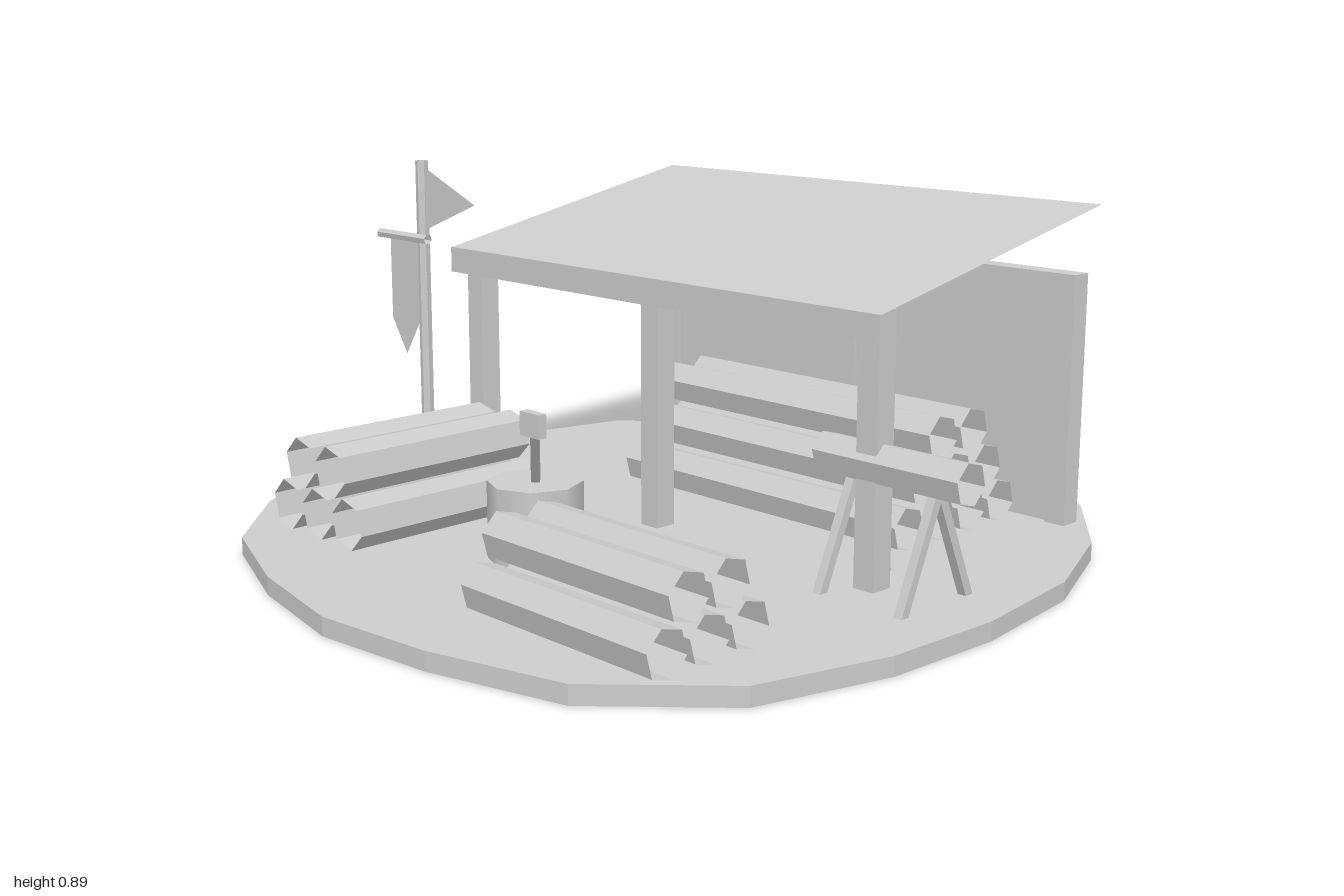
import * as THREE from 'three';

const woodGrey = new THREE.MeshStandardMaterial({ color: 0xcccccc, side: THREE.DoubleSide });
const GROUND = 0.044;

export function createModel() {
  const root = new THREE.Group();

  const add = (name, geo, x = 0, y = 0, z = 0, parent = root) => {
    const mesh = new THREE.Mesh(geo, woodGrey);
    mesh.name = name;
    mesh.position.set(x, y, z);
    parent.add(mesh);
    return mesh;
  };
  const box = (name, x0, x1, y0, y1, z0, z1) =>
    add(name, new THREE.BoxGeometry(x1 - x0, y1 - y0, z1 - z0), (x0 + x1) / 2, (y0 + y1) / 2, (z0 + z1) / 2);
  // Open six-sided tube, upright, turned a little about its axis
  const tube = (r, length) => {
    const flat = new THREE.CylinderGeometry(r, r, length, 6, 1, true, Math.PI / 12).toNonIndexed();
    flat.computeVertexNormals();
    return flat;
  };
  // Square stick between two points, turned about its own axis
  const stick = (name, a, b, width, turn = 0) => {
    const from = new THREE.Vector3(...a), to = new THREE.Vector3(...b);
    const dir = to.clone().sub(from);
    const mid = from.clone().add(to).multiplyScalar(0.5);
    const mesh = add(name, new THREE.BoxGeometry(width, dir.length(), width), mid.x, mid.y, mid.z);
    mesh.quaternion.setFromUnitVectors(new THREE.Vector3(0, 1, 0), dir.normalize());
    mesh.rotateY(turn);
  };
  const plate = (name, points, z) =>
    add(name, new THREE.ShapeGeometry(new THREE.Shape(points.map((p) => new THREE.Vector2(...p)))), 0, 0, z);

  // Irregular ground slab
  const outline = [
    [0, -0.99], [0.315, -0.97], [0.64, -0.885], [0.84, -0.625], [0.96, -0.33], [1, 0], [0.985, 0.3],
    [0.895, 0.62], [0.65, 0.86], [0.32, 0.95], [0.01, 0.985], [-0.3, 0.925], [-0.6, 0.81], [-0.83, 0.59],
    [-0.98, 0.3], [-1, -0.02], [-0.95, -0.34], [-0.87, -0.665], [-0.615, -0.885], [-0.3, -0.98],
  ];
  const slab = new THREE.ExtrudeGeometry(
    new THREE.Shape(outline.map(([x, z]) => new THREE.Vector2(x, -z)).reverse()),
    { depth: GROUND, bevelEnabled: false });
  slab.rotateX(-Math.PI / 2);
  add('ground', slab);

  // Shelter posts, front and back
  for (const x of [-0.662, 0.012, 0.689]) {
    box('frontPost', x - 0.028, x + 0.028, GROUND, 0.666, -0.017, 0.041);
    box('backPost', x - 0.028, x + 0.028, GROUND, 0.666, -0.748, -0.692);
  }
  // Back wall with recessed panels under a top rail
  box('backPanel', -0.66, 0.69, GROUND, 0.61, -0.735, -0.705);
  box('backRail', -0.66, 0.69, 0.6, 0.666, -0.748, -0.692);
  box('fascia', -0.72, 0.743, 0.6, 0.666, 0.06, 0.072);

  // Single-sheet roof rising to the back
  const roof = new THREE.PlaneGeometry(1.463, Math.hypot(0.822, 0.168));
  roof.rotateX(-Math.PI / 2 + Math.atan2(0.168, 0.822));
  add('roof', roof, 0.0115, 0.749, -0.341);

  // Log piles: each layer has one log fewer than the one below
  const pile = (name, axis, start, end, centre, r, spacing, rise, bottomCount, layers) => {
    const group = new THREE.Group();
    group.name = name;
    root.add(group);
    const geo = tube(r, end - start);
    if (axis === 'x') geo.rotateZ(Math.PI / 2);
    else geo.rotateX(Math.PI / 2);
    const mid = (start + end) / 2;
    for (let layer = 0; layer < layers; layer++) {
      const count = bottomCount - layer;
      for (let i = 0; i < count; i++) {
        const across = centre + (i - (count - 1) / 2) * spacing;
        const y = GROUND + r * 0.97 + layer * rise;
        add('log', geo, axis === 'x' ? mid : across, y, axis === 'x' ? across : mid, group);
      }
    }
  };
  pile('backLogPile', 'x', -0.325, 0.585, -0.43, 0.056, 0.12, 0.1, 4, 3);
  pile('rightLogPile', 'x', 0.21, 0.772, 0.603, 0.056, 0.115, 0.1, 3, 2);
  pile('sideLogPile', 'z', 0.123, 0.684, -0.465, 0.062, 0.125, 0.115, 3, 2);

  // Chopping block and axe
  add('choppingBlock', new THREE.CylinderGeometry(0.112, 0.112, 0.185, 8), 0.012, GROUND + 0.0925, 0.402);
  stick('axeHandle', [0.014, 0.225, 0.402], [0.124, 0.39, 0.494], 0.02, Math.PI / 4);
  box('axeHead', 0.09, 0.155, 0.368, 0.423, 0.487, 0.509);

  // Sawhorse carrying a log
  for (const x of [0.632, 0.855])
    for (const side of [-1, 1])
      stick('sawhorseLeg', [x, 0.3, 0.007], [x, 0.008, 0.007 + side * 0.127], 0.022);
  const sawLog = tube(0.05, 0.395);
  sawLog.rotateZ(Math.PI / 2);
  add('sawhorseLog', sawLog, 0.743, 0.326, 0.005);

  // Flagpole with crossbar, hanging banner and pennant
  add('flagpole', tube(0.017, 0.848), -0.804, GROUND + 0.424, 0.1);
  const bar = tube(0.013, 0.21);
  bar.rotateZ(Math.PI / 2);
  add('bannerBar', bar, -0.805, 0.695, 0.163);
  plate('banner', [[-0.863, 0.695], [-0.863, 0.47], [-0.802, 0.378], [-0.742, 0.47], [-0.742, 0.695]], 0.165);
  plate('pennant', [[-0.79, 0.874], [-0.79, 0.708], [-0.58, 0.79]], 0.1);

  return root;
}
